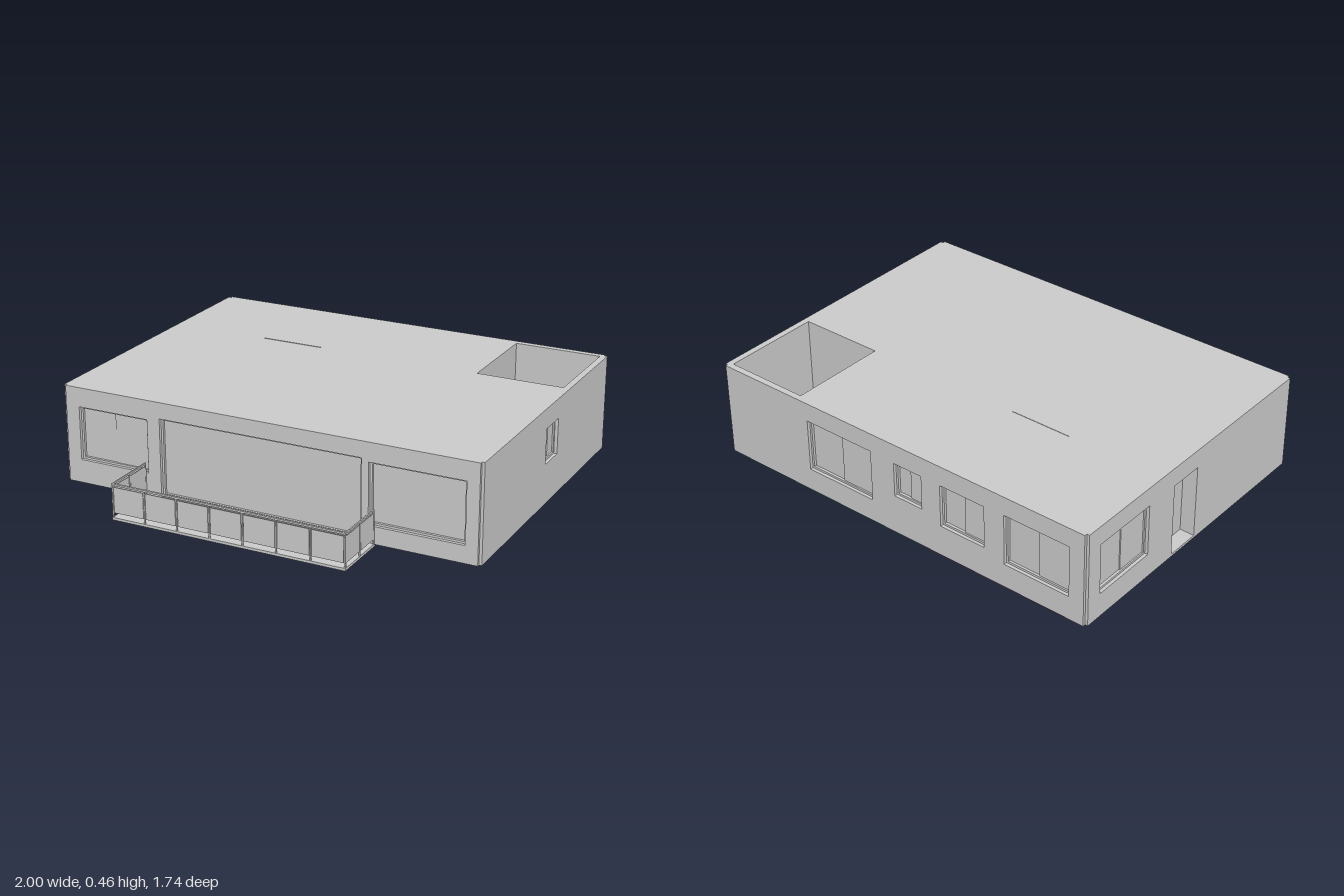
import * as THREE from 'three';

const D = 0.03;                       // wall thickness
const Y0 = 0.01, Y1 = 0.46, SLAB = 0.012;
const X = 1, ZB = -0.87, ZF = 0.6, N = 0.013; // footprint and corner notch

const mat = new THREE.MeshStandardMaterial({ color: 0xcccccc, side: THREE.DoubleSide });

function mesh(name, geometry, parent) {
  const m = new THREE.Mesh(geometry, mat);
  m.name = name;
  parent.add(m);
  return m;
}

// box given by its limits on each axis
function box(name, [x0, x1], [y0, y1], [z0, z1], parent) {
  const g = new THREE.BoxGeometry(x1 - x0, y1 - y0, z1 - z0);
  g.translate((x0 + x1) / 2, (y0 + y1) / 2, (z0 + z1) / 2);
  return mesh(name, g, parent);
}

const toPoints = (list) => list.map(([x, y]) => new THREE.Vector2(x, y));
const rect = (x0, x1, y0, y1) => toPoints([[x0, y0], [x1, y0], [x1, y1], [x0, y1]]);

// extrude a plan drawn as (x, z) from y0 up to y1
function extrudePlan(name, points, holes, y0, y1, parent) {
  const shape = new THREE.Shape(points);
  shape.holes = holes.map((h) => new THREE.Path(h));
  const g = new THREE.ExtrudeGeometry(shape, { depth: y1 - y0, bevelEnabled: false });
  g.rotateX(Math.PI / 2);
  g.translate(0, y1, 0);
  return mesh(name, g, parent);
}

// thin frame, pane and a sliding leaf set in an opening
function addWindow({ u, y, sliding }, parent) {
  const w = new THREE.Group();
  w.name = 'window';
  const f = 0.01;
  const ring = new THREE.Shape(rect(u[0], u[1], y[0], y[1]));
  ring.holes.push(new THREE.Path(rect(u[0] + f, u[1] - f, y[0] + f, y[1] - f)));
  const g = new THREE.ExtrudeGeometry(ring, { depth: 0.013, bevelEnabled: false });
  g.translate(0, 0, -D + 0.002);
  mesh('windowFrame', g, w);
  box('windowPane', u, y, [-D - 0.004, -D + 0.003], w);
  if (sliding) {
    const mid = (u[0] + u[1]) / 2;
    box('slidingPane', [mid, u[1] - f], [y[0] + f, y[1] - f], [-D, -D + 0.008], w);
  }
  parent.add(w);
}

// wall panel with openings, drawn with its outer face on local z = 0
function addWall(name, [u0, u1], openings, position, turn, parent) {
  const side = new THREE.Group();
  side.name = name;
  const bottom = Y0 + SLAB, top = Y1 - SLAB;
  const floorDoors = openings.filter((o) => o.y[0] <= bottom).sort((a, b) => a.u[0] - b.u[0]);
  const outline = [[u0, bottom]];
  for (const { u, y } of floorDoors) {
    outline.push([u[0], bottom], [u[0], y[1]], [u[1], y[1]], [u[1], bottom]);
  }
  outline.push([u1, bottom], [u1, top], [u0, top]);
  const shape = new THREE.Shape(toPoints(outline));
  for (const o of openings) {
    if (!floorDoors.includes(o)) shape.holes.push(new THREE.Path(rect(...o.u, ...o.y)));
    if (!o.open) addWindow(o, side);
  }
  const g = new THREE.ExtrudeGeometry(shape, { depth: D, bevelEnabled: false });
  g.translate(0, 0, -D);
  mesh(name + 'Panel', g, side);
  side.position.set(...position);
  side.rotation.y = turn;
  parent.add(side);
}

function addBalcony(parent) {
  const b = new THREE.Group();
  b.name = 'balcony';
  const x0 = -0.588, x1 = 0.524, z1 = 0.866, rail = [0.16, 0.168], t = 0.006;
  box('balconyFloor', [x0, x1], [0, 0.012], [ZF - 0.005, z1], b);
  box('frontRail', [x0, x1], rail, [z1 - 0.01, z1], b);
  const post = (x, z) => box('railPost', [x - t / 2, x + t / 2], [0.01, 0.162], [z - t / 2, z + t / 2], b);

  // front railing: seven glass panels between posts
  const zc = z1 - 0.005, step = (x1 - x0 - t) / 7;
  for (let i = 0; i <= 7; i++) {
    const x = x0 + t / 2 + i * step;
    post(x, zc);
    if (i < 7) box('railPanel', [x + 0.006, x + step - 0.006], [0.033, 0.152], [zc - 0.002, zc + 0.002], b);
  }
  // side railings: two panels each
  for (const x of [x0 + t / 2, x1 - t / 2]) {
    box('sideRail', [x - t / 2, x + t / 2], rail, [ZF, z1 - 0.01], b);
    post(x, 0.73);
    post(x, ZF + t / 2);
    for (const z of [[0.605, 0.724], [0.736, 0.855]]) {
      box('railPanel', [x - 0.002, x + 0.002], [0.033, 0.152], z, b);
    }
  }
  parent.add(b);
}

export function createModel() {
  const house = new THREE.Group();
  house.name = 'house';

  // open light well through the back left corner
  const well = { x: [0.56, X - D], z: [ZB + D, -0.37] };

  // roof and floor slabs with notched corners
  const plan = toPoints([
    [-X + N, ZB], [X - N, ZB], [X - N, ZB + N], [X, ZB + N],
    [X, ZF - N], [X - N, ZF - N], [X - N, ZF], [-X + N, ZF],
    [-X + N, ZF - N], [-X, ZF - N], [-X, ZB + N], [-X + N, ZB + N],
  ]);
  const hole = rect(...well.x, ...well.z);
  extrudePlan('roof', plan, [hole], Y1 - SLAB, Y1, house);
  extrudePlan('floor', plan, [hole], Y0, Y0 + SLAB, house);

  // inner block, cut away at the light well and the entrance
  const xi = X - D, zb = ZB + D, zf = ZF - D, door = [-0.28, -0.115];
  extrudePlan('innerBlock', toPoints([
    [-xi, zb], [well.x[0], zb], [well.x[0], well.z[1]], [xi, well.z[1]],
    [xi, zf], [-xi, zf], [-xi, door[1]], [-xi + 0.04, door[1]],
    [-xi + 0.04, door[0]], [-xi, door[0]],
  ]), [], Y0 + SLAB, Y1 - SLAB, house);

  // outer walls
  addWall('frontWall', [-X + N, X - N], [
    { u: [-0.92, -0.57], y: [0.12, 0.37], sliding: true },
    { u: [-0.507, 0.462], y: [Y0 + SLAB, 0.385] },
    { u: [0.495, 0.93], y: [0.09, 0.372] },
  ], [0, 0, ZF], 0, house);
  addWall('backWall', [-X + N, X - N], [
    { u: [-0.5, -0.135], y: [0.12, 0.37], sliding: true },
    { u: [-0.005, 0.145], y: [0.2, 0.365], sliding: true },
    { u: [0.247, 0.48], y: [0.16, 0.365], sliding: true },
    { u: [0.584, 0.913], y: [0.125, 0.37], sliding: true },
  ], [0, 0, ZB], Math.PI, house);
  addWall('leftWall', [-ZF + N, -ZB - N], [
    { u: [0.1, 0.24], y: [0.2, 0.365], sliding: true },
  ], [X, 0, 0], Math.PI / 2, house);
  addWall('rightWall', [ZB + N, ZF - N], [
    { u: [-0.78, -0.455], y: [0.125, 0.37], sliding: true },
    { u: door, y: [Y0 + SLAB, 0.37], open: true },
  ], [-X, 0, 0], -Math.PI / 2, house);

  // partition whose edge shows above the roof and below the floor
  box('partition', [-0.525, -0.225], [0.005, Y1 + 0.002], [-0.371, -0.366], house);

  addBalcony(house);
  return house;
}
